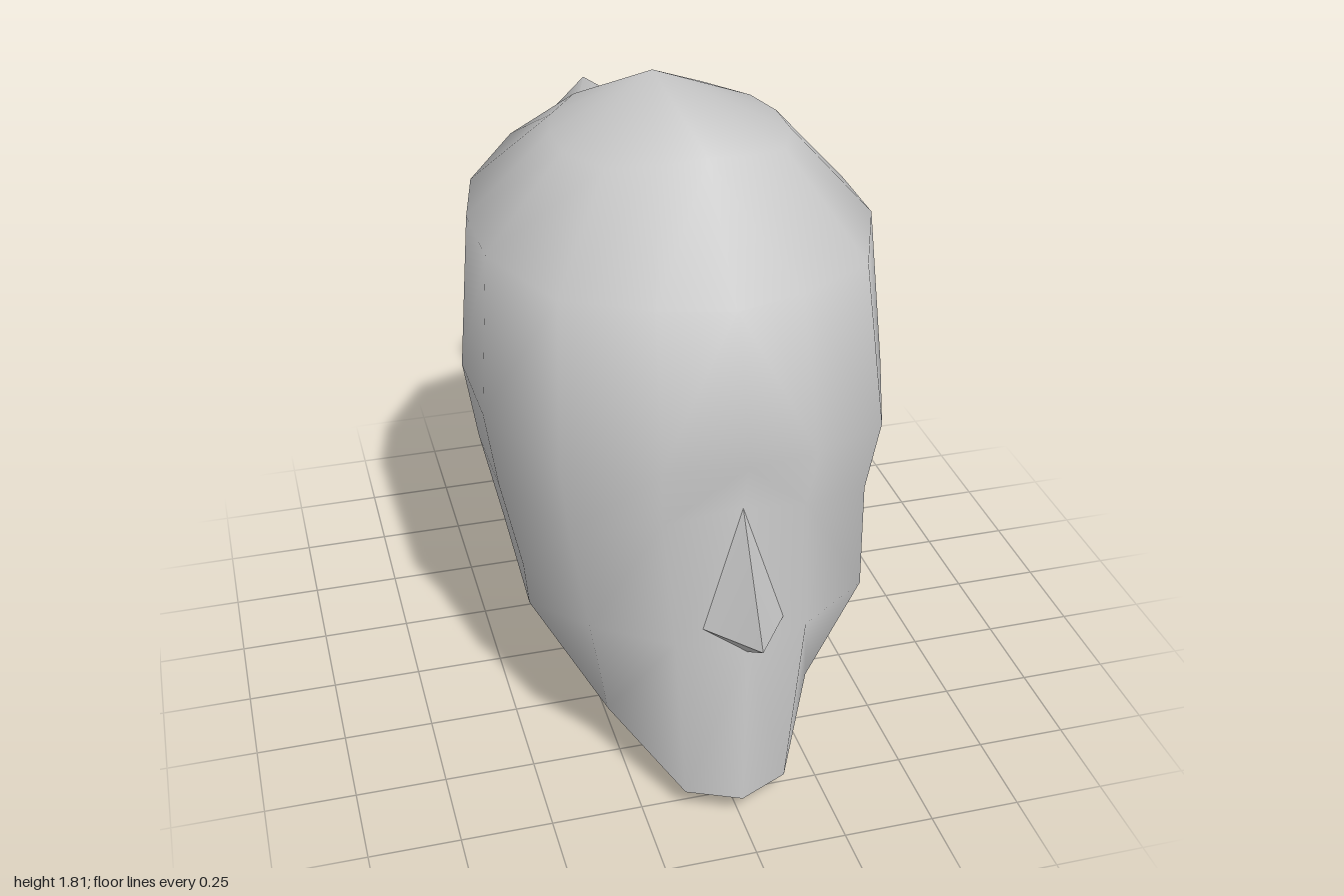
import * as THREE from 'three';
import { mergeVertices, toCreasedNormals } from 'three/addons/utils/BufferGeometryUtils.js';

const material = new THREE.MeshStandardMaterial({ color: 0xcccccc });

// Joins two rows of points (front to back on the +x half, upper row first) with triangles
function strip(tris, upper, lower) {
  for (let j = 0; j < upper.length - 1; j++) {
    tris.push([upper[j], lower[j], lower[j + 1]], [upper[j], lower[j + 1], upper[j + 1]]);
  }
}

// Mirrors the half surface across x = 0 and gives it smooth normals with creases
function mirroredMesh(name, tris, crease) {
  const positions = [];
  const same = (p, q) => p.every((v, i) => Math.abs(v - q[i]) < 1e-6);
  const flip = ([x, y, z]) => [-x, y, z];
  for (const [a, b, c] of tris) {
    if (same(a, b) || same(b, c) || same(a, c)) continue;
    positions.push(...a, ...b, ...c, ...flip(a), ...flip(c), ...flip(b));
  }
  const geometry = new THREE.BufferGeometry();
  geometry.setAttribute('position', new THREE.Float32BufferAttribute(positions, 3));
  const mesh = new THREE.Mesh(toCreasedNormals(mergeVertices(geometry), crease), material);
  mesh.name = name;
  return mesh;
}

// Skull, jaw and neck as one continuous skin
function createHead() {
  // Half outline seen from above: share of half width, share of depth from front to back
  const outline = [[0, 0], [0.36, 0.045], [0.76, 0.14], [0.99, 0.37], [1, 0.56], [0.9, 0.735], [0.59, 0.93], [0, 1]];
  // Front y, front z, side y, half width, back y, back z
  const levels = [
    [1.77, 0.46, 1.71, 0.31, 1.7, -0.27],
    [1.48, 0.73, 1.47, 0.53, 1.53, -0.59],
    [1.11, 0.85, 1.03, 0.565, 1.13, -0.67],
    [0.97, 0.81, 0.8, 0.53, 0.79, -0.62],
    [0.58, 0.88, 0.6, 0.49, 0.57, -0.46],
  ];
  const rings = levels.map(([yf, zf, ys, w, yb, zb]) => outline.map(([s, t], j) => {
    const yc = j < 4 ? yf : yb;
    return [w * s, yc + (ys - yc) * s, zf + (zb - zf) * t];
  }));
  const tris = [];

  // Crown and skull
  strip(tris, outline.map(() => [0, 1.81, -0.07]), rings[0]);
  for (let i = 0; i < rings.length - 1; i++) strip(tris, rings[i], rings[i + 1]);

  // Jaw edge from chin to ear, then the underside
  const base = rings[4];
  const jaw = [[0, 0.075, 0.87], [0.14, 0.07, 0.8], [0.29, 0.18, 0.53], [0.445, 0.36, 0.23], base[4]];
  const throat = [0, 0.11, 0.42];
  const jawInner = [0.38, 0.33, 0.14];
  strip(tris, base.slice(0, 5), jaw);
  strip(tris, jaw, [throat, throat, throat, jawInner, jawInner]);

  // Neck tapering to a small stub
  const stub = [[0, 0.02, -0.16], [0.1, 0.03, -0.18], [0.18, 0.04, -0.26], [0.18, 0.04, -0.32], [0.12, 0.02, -0.43], [0, 0, -0.46]];
  strip(tris, [throat, jawInner, ...base.slice(4)], stub);
  strip(tris, stub, stub.map(() => [0, 0.05, -0.3]));
  return mirroredMesh('head', tris, 1.0);
}

// Wedge nose
function createNose() {
  const bridge = [0, 0.97, 0.81], bridgeSide = [0.045, 0.97, 0.77];
  const tip = [0, 0.66, 1], wing = [0.13, 0.63, 0.8], bottom = [0, 0.575, 0.88];
  const tris = [];
  strip(tris, [bridge, bridgeSide], [tip, wing]);
  strip(tris, [tip, wing], [bottom, bottom]);
  return mirroredMesh('nose', tris, 0.9);
}

// Ponytail lofted through five-sided sections
function createPonytail() {
  // Outer y, outer z, inner y, inner z, half width
  const sections = [
    [1.53, -0.59, 1.42, -0.59, 0.1],
    [1.49, -0.915, 1.29, -0.63, 0.115],
    [1.16, -1, 1.09, -0.765, 0.13],
    [0.85, -0.96, 0.8, -0.77, 0.085],
    [0.63, -0.99, 0.47, -0.74, 0.1],
    [0.05, -0.835, 0.05, -0.765, 0.035],
  ];
  const profile = [[0, 1], [0.8, 1], [1, 0.3], [0, 0]];
  const rows = sections.map(([yo, zo, yi, zi, w]) =>
    profile.map(([s, t]) => [w * s, yo + (yi - yo) * t, zo + (zi - zo) * t]));
  const tris = [];
  for (let i = 0; i < rows.length - 1; i++) strip(tris, rows[i], rows[i + 1]);
  const end = rows[rows.length - 1];
  strip(tris, rows[0].map(() => [0, 1.475, -0.59]), rows[0]);
  strip(tris, end, end.map(() => [0, 0.05, -0.8]));
  return mirroredMesh('ponytail', tris, 1.1);
}

export function createModel() {
  const group = new THREE.Group();
  group.name = 'headWithPonytail';
  group.add(createHead(), createNose(), createPonytail());
  return group;
}
